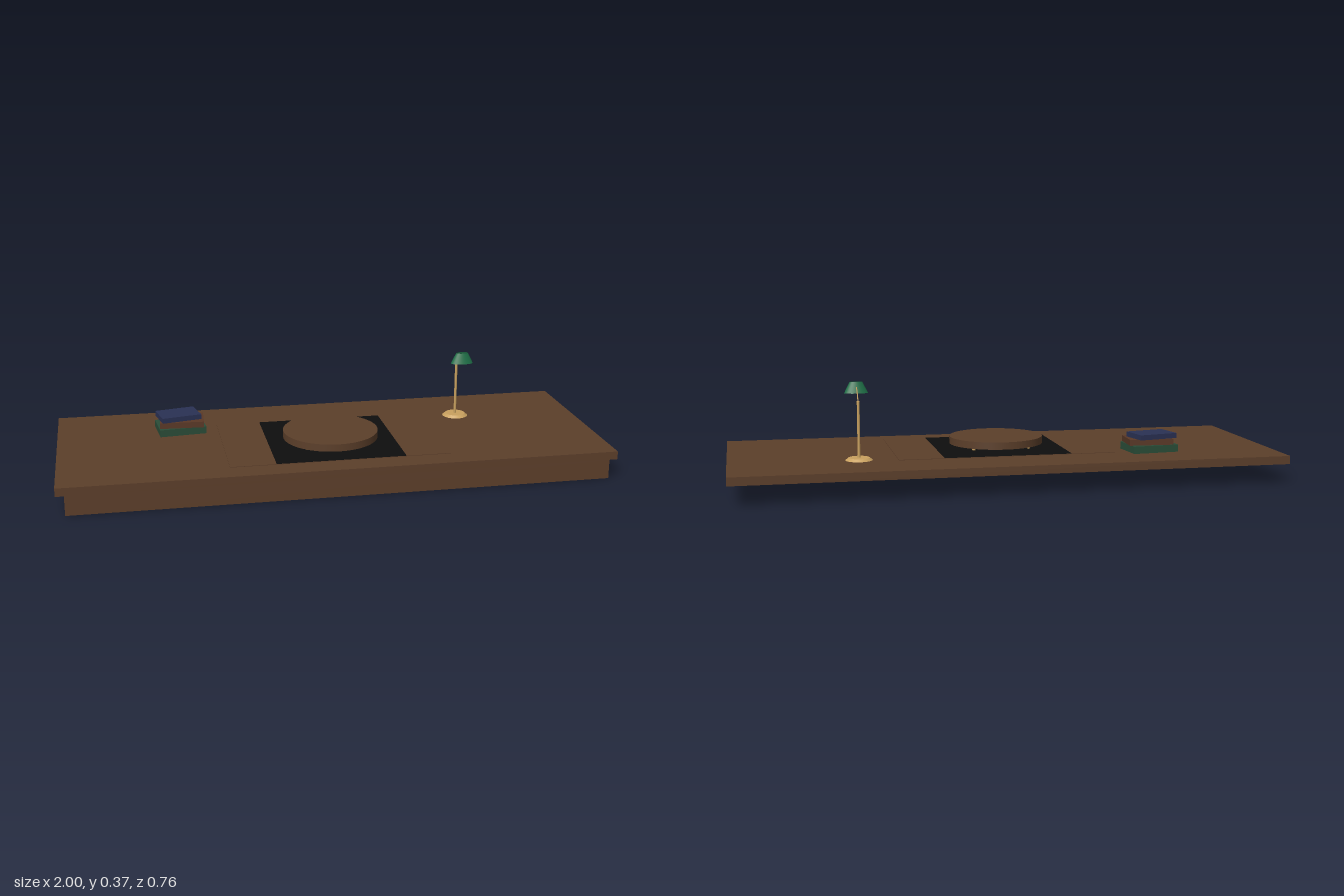
import * as THREE from 'three';

const mat = (name, color, extra = {}) => {
  const m = new THREE.MeshStandardMaterial({ color, ...extra });
  m.name = name;
  return m;
};

export function createModel() {
  const wood = mat('wood', 0x5c3f2a);
  const black = mat('black', 0x0e0e0e);
  const brass = mat('brass', 0xc9a15f);
  const shadeGreen = mat('shade green', 0x1f7048, { side: THREE.DoubleSide });
  const bookGreen = mat('book green', 0x2a4d38);
  const bookBrown = mat('book brown', 0x5a3826);
  const bookNavy = mat('book navy', 0x2a3154);

  const root = new THREE.Group();
  root.name = 'desk';
  const add = (name, geometry, material, x, y, z, parent = root) => {
    const mesh = new THREE.Mesh(geometry, material);
    mesh.name = name;
    mesh.position.set(x, y, z);
    parent.add(mesh);
    return mesh;
  };
  const box = (w, h, d) => new THREE.BoxGeometry(w, h, d);

  // Desk top with a front apron
  add('deskTop', box(2, 0.03, 0.762), wood, 0, 0.086, 0);
  add('frontApron', box(1.94, 0.071, 0.022), wood, 0, 0.0355, 0.37);

  // Thin desk pad with a black square in the middle
  add('deskPad', box(0.8, 0.002, 0.47), wood, 0, 0.102, 0.055);
  add('blackSquare', box(0.47, 0.001, 0.469), black, 0, 0.1033, 0.055);

  // Round wooden turntable on four brass ball feet
  const turntable = new THREE.Group();
  turntable.name = 'turntable';
  turntable.position.set(0, 0, 0.059);
  root.add(turntable);
  add('disc', new THREE.CylinderGeometry(0.176, 0.176, 0.027, 64), wood, 0, 0.1288, 0, turntable);
  for (const sx of [-1, 1]) for (const sz of [-1, 1]) {
    add('ballFoot', new THREE.SphereGeometry(0.007, 16, 12), brass, sx * 0.104, 0.109, sz * 0.104, turntable);
  }

  // Stack of books: width, height, depth, x, base y, z, turn
  const books = new THREE.Group();
  books.name = 'bookStack';
  root.add(books);
  [
    ['bottomBook', bookGreen, 0.175, 0.027, 0.131, -0.54, 0.101, -0.1525, 0.1],
    ['middleBook', bookBrown, 0.165, 0.022, 0.115, -0.535, 0.128, -0.149, -0.05],
    ['topBook', bookNavy, 0.15, 0.019, 0.106, -0.547, 0.15, -0.158, 0.21],
  ].forEach(([name, material, w, h, d, x, y, z, turn]) => {
    add(name, box(w, h, d), material, x, y + h / 2, z, books).rotation.y = turn;
  });

  // Lamp: base, post, bent arm and oval shade
  const lamp = new THREE.Group();
  lamp.name = 'deskLamp';
  lamp.position.set(0.538, 0, -0.141);
  root.add(lamp);
  add('lampBase', new THREE.CylinderGeometry(0.038, 0.049, 0.009, 40), brass, 0, 0.1055, 0, lamp);
  add('lampPost', new THREE.CylinderGeometry(0.005, 0.005, 0.203, 16), brass, 0, 0.2105, 0, lamp);

  const armPath = new THREE.CurvePath();
  const armPoints = [[0.309, 0], [0.348, 0.038], [0.358, 0.068]]
    .map(([y, z]) => new THREE.Vector3(0, y, z));
  for (let i = 0; i < armPoints.length - 1; i++) {
    armPath.add(new THREE.LineCurve3(armPoints[i], armPoints[i + 1]));
  }
  const arm = add('lampArm', new THREE.TubeGeometry(armPath, 24, 0.0033, 10, false), brass, 0, 0, 0, lamp);
  arm.scale.x = 0.6;

  const shade = add('lampShade', new THREE.CylinderGeometry(0.023, 0.043, 0.04, 40, 1, true),
    shadeGreen, 0, 0.353, 0.071, lamp);
  shade.scale.z = 0.55;

  return root;
}
